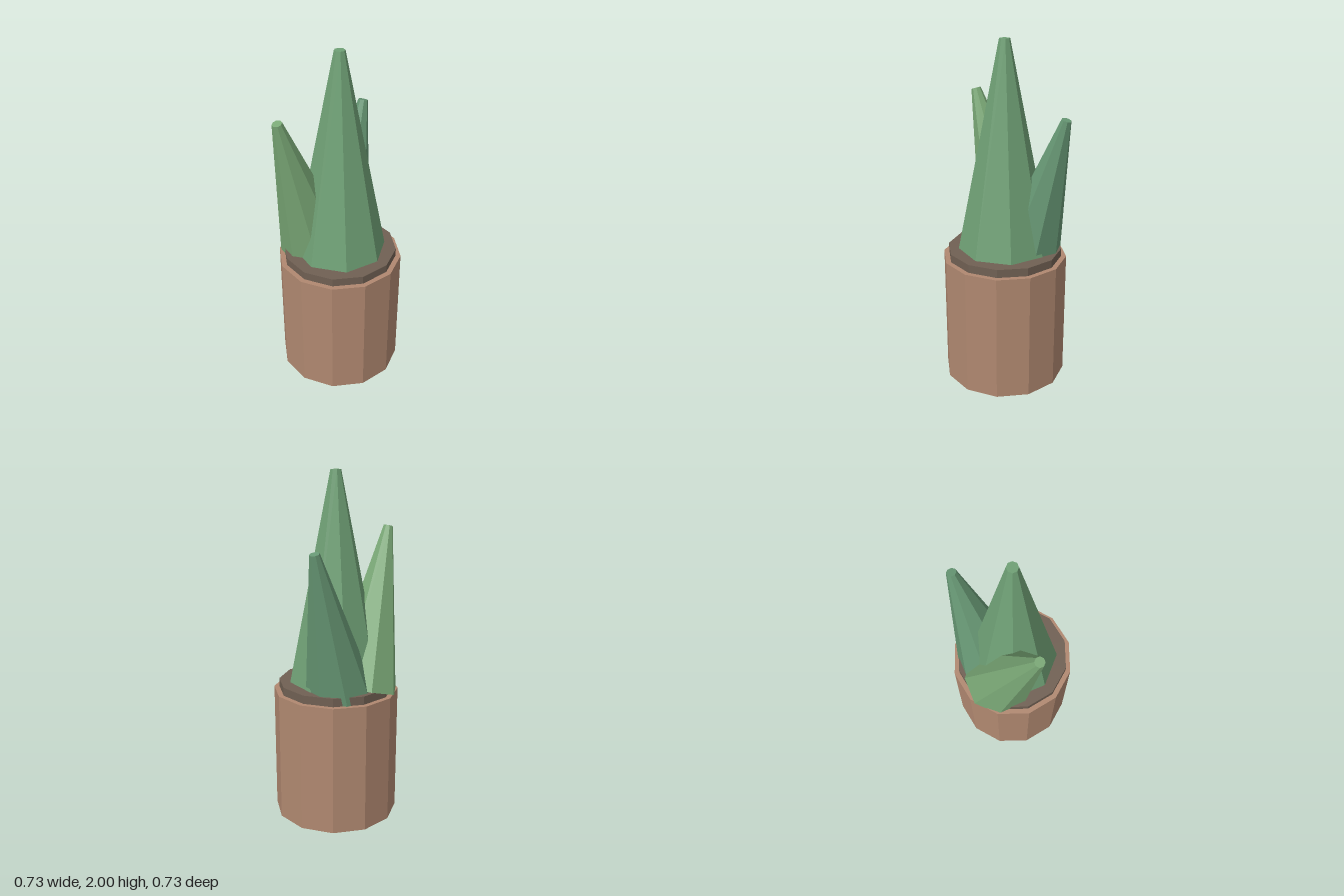
import * as THREE from 'three';

const CX = -0.006; // the pot sits slightly off centre because of the leaning leaves

function makeMesh(name, geometry, color) {
  const material = new THREE.MeshStandardMaterial({ color, flatShading: true });
  const mesh = new THREE.Mesh(geometry, material);
  mesh.name = name;
  return mesh;
}

// Upright 12-sided drum between two heights
function drum(name, radius, y0, y1, color) {
  const mesh = makeMesh(name, new THREE.CylinderGeometry(radius, radius, y1 - y0, 12), color);
  mesh.position.set(CX, (y0 + y1) / 2, 0);
  return mesh;
}

// Tapered 8-sided leaf running from base to tip, leaning sideways only
function leaf(name, base, tip, baseRadius, tipRadius, color) {
  const a = new THREE.Vector3(...base);
  const b = new THREE.Vector3(...tip);
  const geometry = new THREE.CylinderGeometry(tipRadius, baseRadius, a.distanceTo(b), 8);
  const mesh = makeMesh(name, geometry, color);
  mesh.position.copy(a).lerp(b, 0.5);
  mesh.rotation.z = -Math.atan2(b.x - a.x, b.y - a.y);
  return mesh;
}

export function createModel() {
  const model = new THREE.Group();
  model.name = 'pottedSucculent';

  // Pot and soil
  model.add(drum('pot', 0.363, 0, 0.757, 0xb08870));
  model.add(drum('soil', 0.333, 0.7, 0.805, 0x706053));

  // Tall middle leaf and the two smaller leaves leaning out behind it
  model.add(leaf('middleLeaf', [CX, 0.8, 0], [CX, 2, 0], 0.271, 0.03, 0x6fa075));
  model.add(leaf('rightLeaf', [-0.045, 0.765, -0.152], [-0.332, 1.675, -0.152], 0.212, 0.028, 0x7aa876));
  model.add(leaf('leftLeaf', [0.1, 0.78, -0.09], [0.338, 1.592, -0.09], 0.196, 0.028, 0x669673));

  return model;
}
